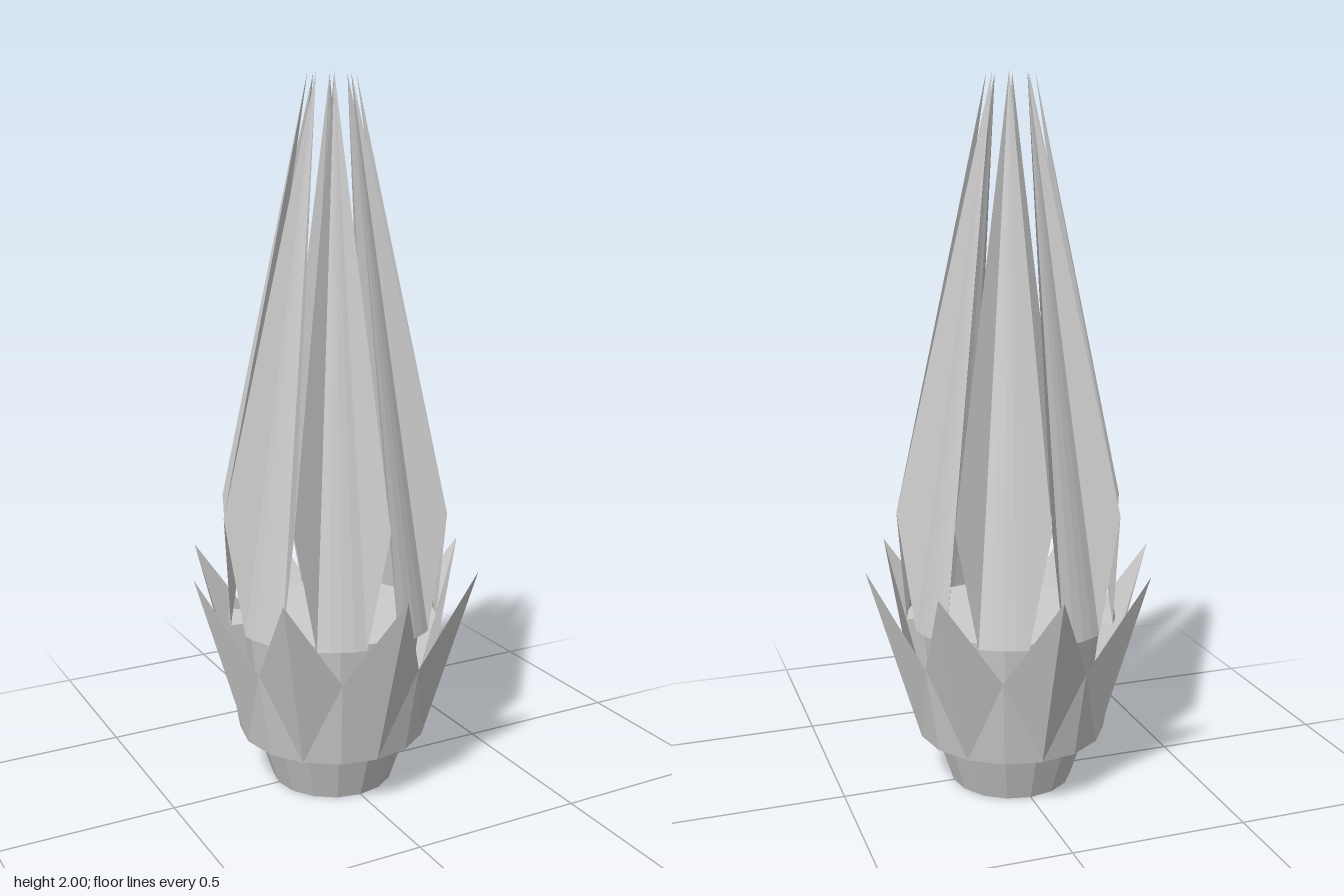
import * as THREE from 'three';

const STEP = Math.PI / 8; // sixteenth of a turn
const at = (angle, r, y) => [Math.sin(angle) * r, y, Math.cos(angle) * r];

// Faceted geometry from a list of triangles
function facets(triangles) {
  const geometry = new THREE.BufferGeometry();
  geometry.setAttribute('position', new THREE.Float32BufferAttribute(triangles.flat(2), 3));
  geometry.computeVertexNormals();
  return geometry;
}

export function createModel() {
  const model = new THREE.Group();
  const grey = new THREE.MeshStandardMaterial({ color: 0xcccccc, side: THREE.DoubleSide, flatShading: true });
  grey.name = 'pale grey';
  const add = (name, geometry, parent = model) => {
    const mesh = new THREE.Mesh(geometry, grey);
    mesh.name = name;
    parent.add(mesh);
    return mesh;
  };

  // Tapered foot
  add('foot', new THREE.CylinderGeometry(0.225, 0.175, 0.15, 16)).position.y = 0.075;

  // Ledge under the crown
  const ledge = new THREE.RingGeometry(0.22, 0.27, 16, 1);
  ledge.rotateX(Math.PI / 2);
  add('crownLedge', ledge).position.y = 0.15;

  // Inner cup that carries the petals
  add('cup', new THREE.CylinderGeometry(0.26, 0.22, 0.34, 16)).position.y = 0.32;

  // Crown of eight pointed, centre-folded leaves
  const crown = new THREE.Group();
  crown.name = 'crown';
  model.add(crown);
  const foot = at(0, 0.27, 0.15), tip = at(0, 0.425, 0.66);
  const footR = at(STEP, 0.27, 0.15), valleyR = at(STEP, 0.312, 0.4);
  const footL = at(-STEP, 0.27, 0.15), valleyL = at(-STEP, 0.312, 0.4);
  const leafGeometry = facets([
    [foot, footR, valleyR], [foot, valleyR, tip], [foot, valleyL, footL], [foot, tip, valleyL],
  ]);

  // Eight tall petals: a straight curved panel running to a sharp tip,
  // with a triangular flange standing out along each side
  const petals = new THREE.Group();
  petals.name = 'petals';
  model.add(petals);
  const petalTip = at(0, 0.065, 2);
  const edge = THREE.MathUtils.degToRad(13);
  const petal = [];
  const parts = 4;
  for (let i = 0; i < parts; i++) {
    const a = edge * (2 * i / parts - 1), b = edge * (2 * (i + 1) / parts - 1);
    const p = at(a, 0.3, 0.49), q = at(b, 0.3, 0.49);
    const pIn = at(a, 0.255, 0.49), qIn = at(b, 0.255, 0.49);
    petal.push([p, q, petalTip], [pIn, qIn, q], [pIn, q, p]);
  }
  petal.push(
    [at(edge, 0.3, 0.49), at(STEP, 0.333, 0.82), petalTip],
    [at(-STEP, 0.333, 0.82), at(-edge, 0.3, 0.49), petalTip],
  );
  const petalGeometry = facets(petal);

  for (let i = 0; i < 8; i++) {
    add('crownLeaf', leafGeometry, crown).rotation.y = i * 2 * STEP;
    add('petal', petalGeometry, petals).rotation.y = (i * 2 + 1) * STEP;
  }
  return model;
}
